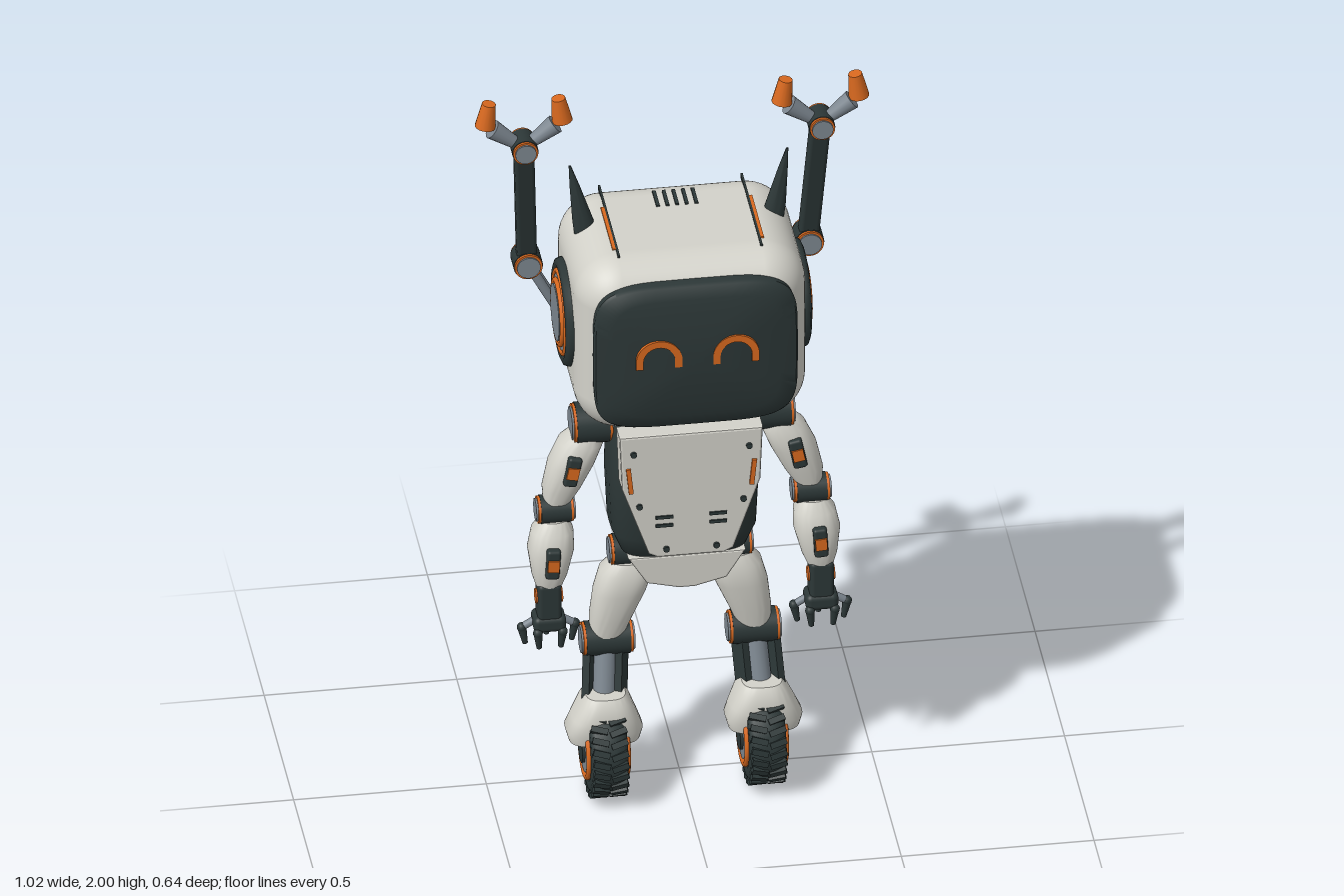
import * as THREE from 'three';
import { toCreasedNormals } from 'three/addons/utils/BufferGeometryUtils.js';
import { RoundedBoxGeometry } from 'three/addons/geometries/RoundedBoxGeometry.js';

const paint = (name, color, side = THREE.FrontSide) => {
  const m = new THREE.MeshStandardMaterial({ color, side });
  m.name = name;
  return m;
};
const white = paint('shell white', 0xd3d2ca);
const dark = paint('dark rubber', 0x2c3737);
const orange = paint('accent orange', 0xd9691f);
const gray = paint('metal gray', 0x7d8790);

const V = (x, y, z) => new THREE.Vector3(x, y, z);

function add(parent, name, geo, mat, pos = [0, 0, 0]) {
  const m = new THREE.Mesh(geo, mat);
  m.name = name;
  m.position.set(...pos);
  parent.add(m);
  return m;
}
const box = (p, name, mat, size, pos) => add(p, name, new THREE.BoxGeometry(...size), mat, pos);
const rbox = (p, name, mat, size, r, pos) => add(p, name, new RoundedBoxGeometry(...size, 6, r), mat, pos);

// Cylinder lying along the x or z axis
function disc(p, name, mat, r, len, axis, pos) {
  const g = new THREE.CylinderGeometry(r, r, len, 32);
  if (axis === 'x') g.rotateZ(Math.PI / 2);
  else if (axis === 'z') g.rotateX(Math.PI / 2);
  return add(p, name, g, mat, pos);
}
function ring(p, name, mat, r, tube, axis, pos) {
  const g = new THREE.TorusGeometry(r, tube, 8, 40);
  if (axis === 'x') g.rotateY(Math.PI / 2);
  return add(p, name, g, mat, pos);
}
// Any upright geometry laid between two points
function between(p, name, mat, a, b, makeGeo) {
  const d = b.clone().sub(a);
  const m = add(p, name, makeGeo(d.length()), mat, a.clone().lerp(b, 0.5).toArray());
  m.quaternion.setFromUnitVectors(V(0, 1, 0), d.normalize());
  return m;
}
const rod = (p, name, mat, a, b, r0, r1 = r0) =>
  between(p, name, mat, a, b, (l) => new THREE.CylinderGeometry(r1, r0, l, 16));

// Closed skin over superellipse sections [y, halfX, halfZ, centreX, centreZ]
function loft(sections, power = 2, seg = 40) {
  const end = ([y, , , cx, cz]) => [y, 0, 0, cx, cz];
  const rows = [end(sections[0]), ...sections, end(sections[sections.length - 1])];
  const pos = [], idx = [];
  const f = (c) => Math.sign(c) * Math.abs(c) ** (2 / power);
  rows.forEach(([y, hx, hz, cx = 0, cz = 0], i) => {
    for (let j = 0; j < seg; j++) {
      const t = (j / seg) * Math.PI * 2;
      pos.push(cx + hx * f(Math.cos(t)), y, cz + hz * f(Math.sin(t)));
      if (!i) continue;
      const k = (j + 1) % seg, a = (i - 1) * seg + j, b = (i - 1) * seg + k, c = i * seg + j, d = i * seg + k;
      idx.push(a, c, b, b, c, d);
    }
  });
  const g = new THREE.BufferGeometry();
  g.setAttribute('position', new THREE.Float32BufferAttribute(pos, 3));
  g.setIndex(idx);
  return toCreasedNormals(g, 0.75);
}
// Flat plate from a right-hand outline, mirrored over x = 0
function plate(half, depth, bevel) {
  const pts = [...half, ...half.slice().reverse().map(([x, y]) => [-x, y])];
  const s = new THREE.Shape(pts.map(([x, y]) => new THREE.Vector2(x, y)));
  return new THREE.ExtrudeGeometry(s, { depth, bevelSize: bevel, bevelThickness: bevel, bevelSegments: 2 });
}
// Dark pivot with orange bands and gray end caps
function joint(p, name, r, len, axis, [x, y, z]) {
  const g = new THREE.Group();
  g.name = name;
  g.position.set(x, y, z);
  p.add(g);
  disc(g, 'pivot', dark, r, len, axis, [0, 0, 0]);
  for (const s of [-1, 1]) {
    const at = (d) => (axis === 'x' ? [s * d, 0, 0] : [0, 0, s * d]);
    disc(g, 'band', orange, r * 0.95, 0.008, axis, at(len / 2 + 0.003));
    disc(g, 'cap', gray, r * 0.8, 0.008, axis, at(len / 2 + 0.008));
  }
}
// Small framed light on a limb
function light(p, [x, y, z], tilt) {
  const g = new THREE.Group();
  g.name = 'limbLight';
  g.position.set(x, y, z);
  g.rotation.z = tilt;
  p.add(g);
  rbox(g, 'frame', dark, [0.036, 0.085, 0.03], 0.008, [0, 0, 0]);
  box(g, 'lamp', orange, [0.03, 0.034, 0.006], [0, 0, 0.016]);
}

function buildHead(p) {
  rbox(p, 'headShell', white, [0.6, 0.51, 0.48], 0.115, [0, 1.445, 0.04]);
  const dome = [[0, 0.262, 0.21], [0.035, 0.265, 0.214], [0.043, 0.26, 0.209]];
  for (let i = 1; i < 7; i++) {
    const k = 1 - i / 6.5;
    dome.push([0.046 + 0.026 * (1 - k * k), 0.258 * k, 0.207 * k]);
  }
  add(p, 'visor', loft(dome, 5, 64).rotateX(Math.PI / 2), dark, [0, 1.447, 0.247]);
  const arch = new THREE.Shape();
  arch.moveTo(0.06, -0.012).lineTo(0.06, 0.01).absarc(0, 0.01, 0.06, 0, Math.PI, false);
  arch.lineTo(-0.06, -0.012).lineTo(-0.041, -0.012).lineTo(-0.041, 0.01);
  arch.absarc(0, 0.01, 0.041, Math.PI, 0, true).lineTo(0.041, -0.012);
  for (const s of [-1, 1]) {
    add(p, 'eye', new THREE.ExtrudeGeometry(arch, { depth: 0.009, bevelEnabled: false, curveSegments: 20 }), orange, [s * 0.1, 1.445, 0.311]);
    // Side pads
    disc(p, 'earPad', dark, 0.125, 0.05, 'x', [s * 0.285, 1.45, 0.04]);
    ring(p, 'earRim', dark, 0.125, 0.018, 'x', [s * 0.302, 1.45, 0.04]);
    ring(p, 'earOuterRing', orange, 0.108, 0.007, 'x', [s * 0.315, 1.45, 0.04]);
    disc(p, 'earPlate', gray, 0.1, 0.03, 'x', [s * 0.303, 1.45, 0.04]);
    ring(p, 'earInnerRing', orange, 0.083, 0.008, 'x', [s * 0.32, 1.45, 0.04]);
    disc(p, 'earCap', gray, 0.075, 0.03, 'x', [s * 0.314, 1.45, 0.04]);
    // Horn antenna and roof trim
    add(p, 'antenna', loft([[1.64, 0.03, 0.02, s * 0.24, 0], [1.7, 0.027, 0.018, s * 0.25, 0],
      [1.8, 0.013, 0.009, s * 0.27, -0.007], [1.86, 0.003, 0.003, s * 0.282, -0.01]], 2, 20), dark);
    box(p, 'roofSeam', dark, [0.006, 0.012, 0.34], [s * 0.185, 1.697, 0.02]);
    box(p, 'roofStripe', orange, [0.009, 0.01, 0.2], [s * 0.192, 1.698, 0.055]);
  }
  for (let i = -2; i <= 2; i++) box(p, 'roofVent', dark, [0.009, 0.009, 0.07], [i * 0.025, 1.7, -0.065]);
}

function buildBody(p) {
  disc(p, 'neck', dark, 0.11, 0.1, 'y', [0, 1.18, 0.02]);
  add(p, 'torso', loft([[0.71, 0.13, 0.075, 0, 0.03], [0.74, 0.165, 0.1, 0, 0.035], [0.8, 0.188, 0.115, 0, 0.037],
    [0.95, 0.195, 0.118, 0, 0.037], [1.1, 0.19, 0.115, 0, 0.037], [1.16, 0.175, 0.1, 0, 0.035], [1.19, 0.15, 0.08, 0, 0.03]], 4, 48), dark);
  add(p, 'chestPlate', plate([[0.18, 1.15], [0.174, 1.0], [0.105, 0.8], [0.085, 0.79]], 0.05, 0.006), white, [0, 0, 0.152]);
  add(p, 'pelvis', loft([[0.62, 0.06, 0.05, 0, 0.02], [0.66, 0.11, 0.075, 0, 0.02], [0.76, 0.13, 0.09, 0, 0.03]], 4), dark);
  add(p, 'pelvisPlate', plate([[0.145, 0.735], [0.1, 0.665], [0.02, 0.645]], 0.05, 0.006), white, [0, 0, 0.08]);
  for (const s of [-1, 1]) {
    const slit = box(p, 'chestLight', orange, [0.012, 0.075, 0.008], [s * 0.16, 1.025, 0.21]);
    slit.rotation.z = -s * 0.1;
    for (const y of [0.907, 0.882]) box(p, 'chestVent', dark, [0.045, 0.009, 0.006], [s * 0.07, y, 0.209]);
    for (const [x, y] of [[0.15, 1.105], [0.135, 0.945], [0.065, 0.81]])
      disc(p, 'bolt', dark, 0.008, 0.01, 'z', [s * x, y, 0.21]);
  }
  // Backpack
  rbox(p, 'backpackCore', dark, [0.32, 0.52, 0.18], 0.04, [0, 0.97, -0.155]);
  rbox(p, 'backpackShell', white, [0.28, 0.49, 0.13], 0.04, [0, 0.962, -0.245]);
  rbox(p, 'backSlotFrame', dark, [0.055, 0.27, 0.016], 0.006, [0, 0.98, -0.309]);
  box(p, 'backSlotLight', orange, [0.02, 0.22, 0.006], [0, 0.98, -0.316]);
  for (const s of [-1, 1]) for (let i = 0; i < 3; i++)
    box(p, 'backVent', dark, [0.048, 0.009, 0.008], [s * 0.085, 1.105 + i * 0.024, -0.31]);
}

// Raised service arm with a two-finger gripper
function buildBackArm(p, s) {
  const base = V(s * 0.17, 1.09, -0.21), elbow = V(s * 0.365, 1.46, -0.2), wrist = V(s * 0.385, 1.86, -0.12);
  joint(p, 'backShoulder', 0.045, 0.05, 'x', base.toArray());
  for (const dz of [-0.014, 0.014])
    rod(p, 'lowerLink', gray, base.clone().add(V(0, 0, dz)), elbow.clone().add(V(0, 0, dz)), 0.013);
  joint(p, 'backElbow', 0.038, 0.058, 'z', elbow.toArray());
  between(p, 'upperLink', dark, elbow, wrist, (l) => new RoundedBoxGeometry(0.052, l, 0.04, 3, 0.01));
  joint(p, 'backWrist', 0.034, 0.062, 'z', wrist.toArray());
  for (const d of [-1, 1]) {
    const at = (x, y) => wrist.clone().add(V(d * x, y, 0));
    rod(p, 'gripperFinger', gray, at(0.02, 0.012), at(0.082, 0.06), 0.016, 0.026);
    rod(p, 'gripperTip', orange, at(0.1, 0.07), at(0.09, 0.138), 0.027, 0.018);
  }
}

function buildArm(p, s) {
  joint(p, 'shoulder', 0.055, 0.085, 'x', [s * 0.235, 1.11, 0.045]);
  add(p, 'upperArm', loft([[1.09, 0.035, 0.04, s * 0.25, 0.045], [1.06, 0.058, 0.055, s * 0.262, 0.045], [1.0, 0.06, 0.057, s * 0.288, 0.048],
    [0.93, 0.05, 0.045, s * 0.314, 0.053], [0.89, 0.036, 0.034, s * 0.326, 0.057]].reverse(), 2.4), white);
  light(p, [s * 0.292, 1.0, 0.1], s * 0.2);
  joint(p, 'elbow', 0.038, 0.078, 'x', [s * 0.332, 0.865, 0.06]);
  add(p, 'forearm', loft([[0.66, 0.035, 0.034, s * 0.352, 0.09], [0.69, 0.046, 0.044, s * 0.35, 0.086], [0.76, 0.06, 0.057, s * 0.345, 0.076],
    [0.81, 0.054, 0.05, s * 0.34, 0.068], [0.84, 0.036, 0.034, s * 0.336, 0.062]], 2.4), white);
  light(p, [s * 0.347, 0.742, 0.13], s * 0.06);
  // Wrist, palm and fingers
  rbox(p, 'wrist', dark, [0.062, 0.11, 0.06], 0.012, [s * 0.353, 0.615, 0.095]);
  disc(p, 'wristBand', orange, 0.02, 0.07, 'x', [s * 0.353, 0.625, 0.095]);
  rbox(p, 'palm', dark, [0.085, 0.045, 0.07], 0.015, [s * 0.353, 0.55, 0.095]);
  for (const [dx, dz] of [[-0.06, 0], [0.06, 0], [-0.028, 0.03], [0.028, 0.03], [0, -0.035]]) {
    const at = (k, y) => V(s * 0.353 + dx * k, y, 0.09 + dz * k);
    rod(p, 'fingerBase', gray, at(0.6, 0.55), at(1.15, 0.53), 0.01);
    add(p, 'knuckle', new THREE.SphereGeometry(0.013, 12, 8), dark, at(1.15, 0.53).toArray());
    rod(p, 'fingerTip', dark, at(1.15, 0.53), at(1, 0.482), 0.012, 0.007);
  }
}

function buildLeg(p, s) {
  joint(p, 'hip', 0.042, 0.07, 'x', [s * 0.14, 0.695, 0.015]);
  add(p, 'thigh', loft([[0.45, 0.045, 0.042, s * 0.19, 0.015], [0.5, 0.055, 0.05, s * 0.18, 0.015], [0.58, 0.068, 0.055, s * 0.158, 0.018],
    [0.64, 0.07, 0.055, s * 0.14, 0.018], [0.67, 0.05, 0.04, s * 0.134, 0.018]], 2.5), white);
  joint(p, 'knee', 0.046, 0.115, 'x', [s * 0.19, 0.43, 0.015]);
  // Shin struts
  rod(p, 'shin', gray, V(s * 0.192, 0.43, 0.015), V(s * 0.203, 0.27, 0.06), 0.03);
  for (const d of [-0.042, 0.042])
    between(p, 'shinPlate', dark, V(s * 0.192 + d, 0.44, 0.015), V(s * 0.203 + d, 0.27, 0.06), (l) => new THREE.BoxGeometry(0.02, l, 0.05));
  rod(p, 'shinPiston', dark, V(s * 0.192, 0.42, -0.02), V(s * 0.203, 0.25, -0.015), 0.009);
  add(p, 'fender', loft([[0.17, 0.092, 0.06, s * 0.207, 0.07], [0.2, 0.1, 0.066, s * 0.207, 0.07], [0.235, 0.085, 0.069, s * 0.205, 0.069],
    [0.28, 0.065, 0.066, s * 0.203, 0.066], [0.3, 0.052, 0.052, s * 0.203, 0.064]], 3), white);
  // Wheel
  const w = new THREE.Group();
  w.name = 'wheel';
  w.position.set(s * 0.205, 0.135, 0.07);
  p.add(w);
  const profile = [[0.075, -0.04], [0.09, -0.048], [0.11, -0.047], [0.122, -0.036], [0.127, -0.015], [0.127, 0.015],
    [0.122, 0.036], [0.11, 0.047], [0.09, 0.048], [0.075, 0.04]];
  add(w, 'tyre', new THREE.LatheGeometry(profile.map(([r, y]) => new THREE.Vector2(r, y)), 48).rotateZ(Math.PI / 2), dark);
  disc(w, 'rim', dark, 0.08, 0.09, 'x', [0, 0, 0]);
  for (const d of [-1, 1]) {
    ring(w, 'rimRing', orange, 0.078, 0.008, 'x', [d * 0.05, 0, 0]);
    disc(w, 'hub', gray, 0.065, 0.03, 'x', [d * 0.04, 0, 0]);
    disc(w, 'axleCap', dark, 0.04, 0.025, 'x', [d * 0.05, 0, 0]);
    for (let i = 0; i < 26; i++) {
      const g = new THREE.BoxGeometry(0.044, 0.014, 0.016).rotateY(d * 0.3).translate(d * 0.024, 0.126, 0);
      add(w, 'tread', g.rotateX(((i + d * 0.15) / 26) * Math.PI * 2), dark);
    }
  }
}

export function createModel() {
  const model = new THREE.Group();
  model.name = 'robot';
  const part = (name, build, ...args) => {
    const g = new THREE.Group();
    g.name = name;
    model.add(g);
    build(g, ...args);
  };
  part('head', buildHead);
  part('body', buildBody);
  for (const s of [1, -1]) {
    const side = s > 0 ? 'left' : 'right';
    part(side + 'BackArm', buildBackArm, s);
    part(side + 'Arm', buildArm, s);
    part(side + 'Leg', buildLeg, s);
  }
  return model;
}
